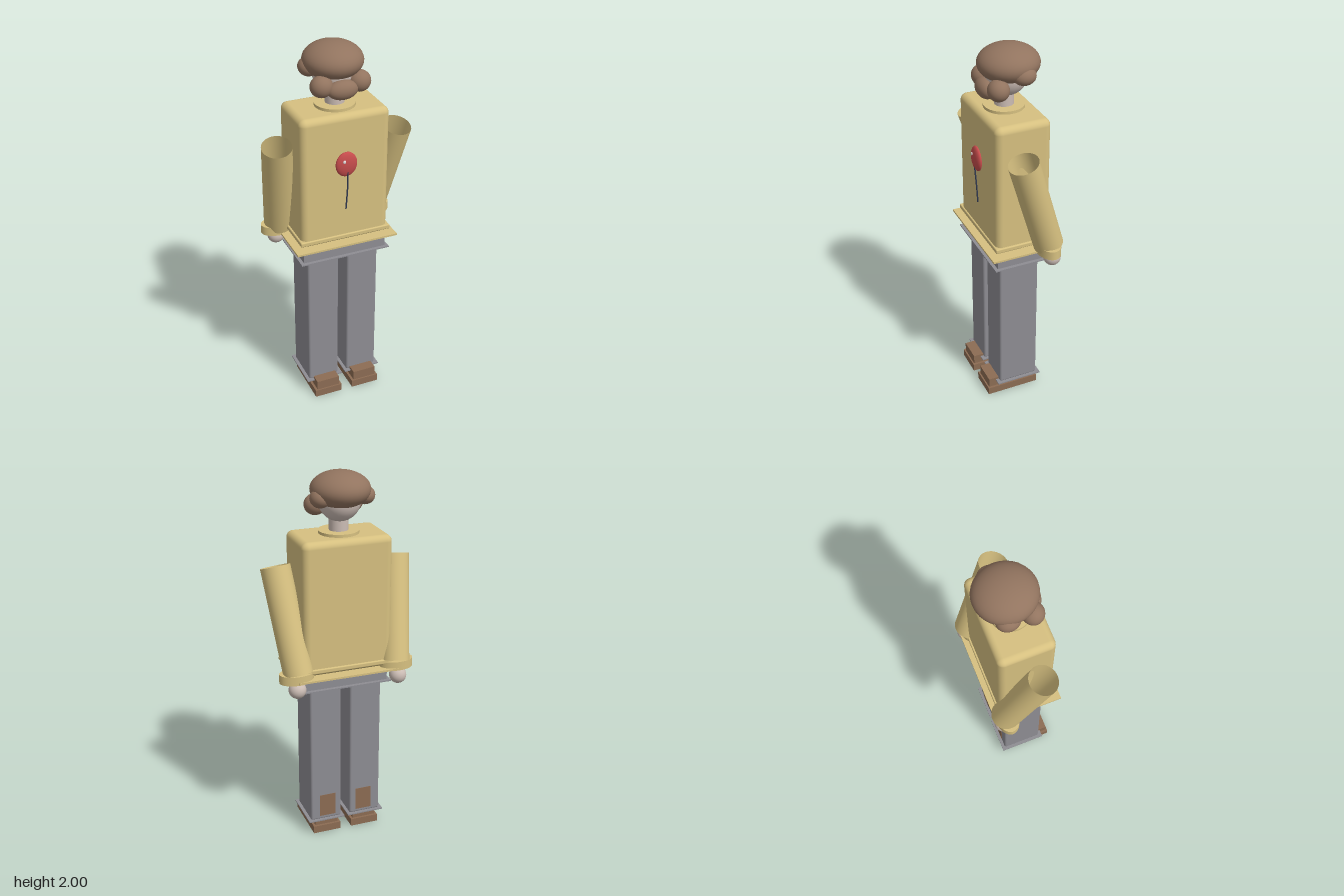
import * as THREE from 'three';
import { RoundedBoxGeometry } from 'three/addons/geometries/RoundedBoxGeometry.js';

function material(name, color, side = THREE.FrontSide) {
  const m = new THREE.MeshStandardMaterial({ color, side });
  m.name = name;
  return m;
}

export function createModel() {
  const model = new THREE.Group();
  model.name = 'figure';
  const coat = material('coat', 0xd6c080, THREE.DoubleSide);
  const trouser = material('trousers', 0x8e8d93);
  const hair = material('hair', 0x92745f);
  const leather = material('shoes', 0x8c6c53);
  const skin = material('skin', 0xcbbcb4);
  const red = material('red', 0xc64c4c);
  const navy = material('string', 0x333c55);
  const white = material('highlight', 0xe8dede);

  const add = (name, geometry, mat, x = 0, y = 0, z = 0) => {
    const mesh = new THREE.Mesh(geometry, mat);
    mesh.name = name;
    mesh.position.set(x, y, z);
    model.add(mesh);
    return mesh;
  };
  // box given by its limits, with an optional rounding radius
  const box = (name, mat, [x0, x1], [y0, y1], [z0, z1], r = 0) => {
    const size = [x1 - x0, y1 - y0, z1 - z0];
    const g = r ? new RoundedBoxGeometry(...size, 4, r) : new THREE.BoxGeometry(...size);
    return add(name, g, mat, (x0 + x1) / 2, (y0 + y1) / 2, (z0 + z1) / 2);
  };
  const ball = (name, mat, [x, y, z], [rx, ry, rz]) =>
    add(name, new THREE.SphereGeometry(1, 32, 20).scale(rx, ry, rz), mat, x, y, z);

  // coat body and hem
  box('coatBody', coat, [-0.24, 0.24], [0.965, 1.68], [-0.138, 0.158], 0.035);
  box('coatHemBand', coat, [-0.25, 0.25], [0.985, 1.01], [-0.148, 0.166], 0.006);
  box('coatHem', coat, [-0.28, 0.28], [0.953, 0.963], [-0.175, 0.194]);

  // trouser waist with its flared lower edge
  box('waist', trouser, [-0.23, 0.23], [0.876, 0.955], [-0.105, 0.15]);
  box('waistHem', trouser, [-0.248, 0.248], [0.872, 0.878], [-0.125, 0.168]);

  // collar, neck and head
  add('collar', new THREE.CylinderGeometry(0.105, 0.105, 0.016, 40), coat, 0, 1.687, 0.012);
  add('neck', new THREE.CylinderGeometry(0.05, 0.05, 0.11, 28), skin, 0, 1.745, 0.012);
  ball('head', skin, [0, 1.852, 0], [0.11, 0.11, 0.11]);
  ball('hairTop', hair, [0, 1.907, -0.012], [0.153, 0.093, 0.158]);
  ball('beardCentre', hair, [0, 1.793, 0.112], [0.08, 0.05, 0.045]);

  // balloon badge on the chest
  ball('balloon', red, [0, 1.415, 0.162], [0.058, 0.067, 0.021]);
  ball('balloonHighlight', white, [-0.018, 1.437, 0.181], [0.008, 0.009, 0.004]);
  const stringPath = new THREE.CatmullRomCurve3([
    new THREE.Vector3(0.002, 1.38, 0.176),
    new THREE.Vector3(0.004, 1.27, 0.168),
    new THREE.Vector3(0, 1.16, 0.16),
  ]);
  add('balloonString', new THREE.TubeGeometry(stringPath, 16, 0.004, 8), navy);

  for (const s of [-1, 1]) {
    const side = s > 0 ? 'left' : 'right';
    const span = (a, b) => (s > 0 ? [a, b] : [-b, -a]);

    // side curls and beard
    ball(side + 'HairCurl', hair, [s * 0.117, 1.875, -0.043], [0.052, 0.047, 0.06]);
    ball(side + 'Beard', hair, [s * 0.1, 1.815, 0.085], [0.058, 0.055, 0.055]);

    // open sleeve leaning down and back
    const top = new THREE.Vector3(s * 0.326, 1.523, 0.055);
    const bottom = new THREE.Vector3(s * 0.268, 0.99, -0.117);
    const axis = top.clone().sub(bottom);
    const sleeve = add(side + 'Sleeve',
      new THREE.CylinderGeometry(0.078, 0.078, axis.length(), 40, 1, true), coat);
    sleeve.position.copy(top).add(bottom).multiplyScalar(0.5);
    sleeve.quaternion.setFromUnitVectors(new THREE.Vector3(0, 1, 0), axis.normalize());

    // cuff and hand
    add(side + 'Cuff', new THREE.CylinderGeometry(0.092, 0.092, 0.048, 36).scale(1, 1, 0.66),
      coat, s * 0.276, 0.973, -0.112);
    ball(side + 'Hand', skin, [s * 0.28, 0.91, -0.135], [0.046, 0.046, 0.046]);

    // leg with flared hem
    box(side + 'Leg', trouser, span(0.025, 0.2), [0.078, 0.885], [-0.095, 0.125], 0.012);
    box(side + 'LegHem', trouser, span(0.01, 0.216), [0.077, 0.083], [-0.112, 0.142]);
    box(side + 'LegPatch', leather, span(0.06, 0.15), [0.1, 0.23], [-0.097, -0.09]);

    // shoe
    box(side + 'Sole', leather, span(0.032, 0.188), [0, 0.042], [-0.103, 0.19]);
    box(side + 'ShoeUpper', leather, span(0.045, 0.175), [0.042, 0.095], [-0.09, 0.182]);
  }
  return model;
}
